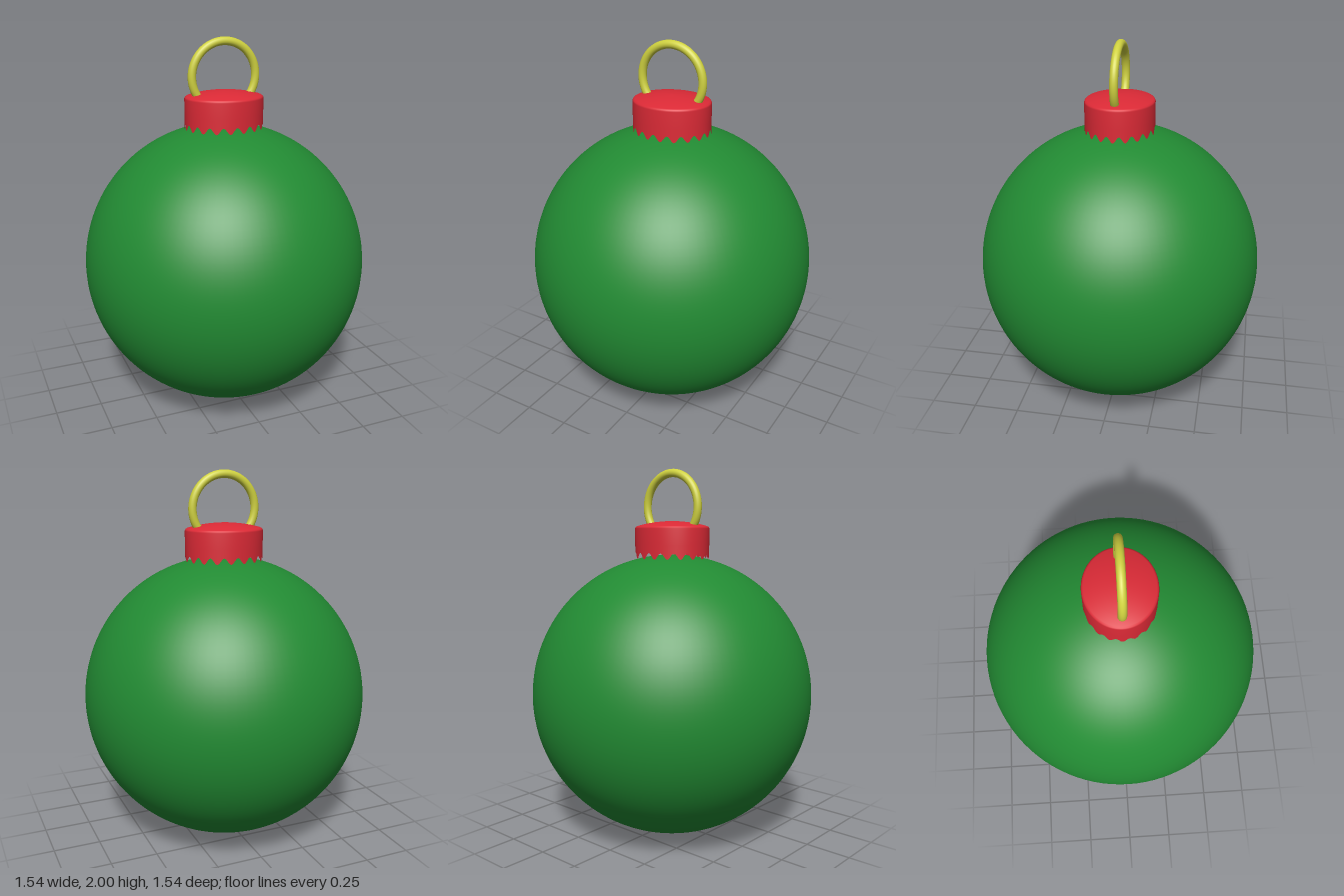
import * as THREE from 'three';

const material = (color) => new THREE.MeshStandardMaterial({ color, side: THREE.DoubleSide });

function addMesh(group, name, geometry, color) {
  const mesh = new THREE.Mesh(geometry, material(color));
  mesh.name = name;
  group.add(mesh);
  return mesh;
}

// Domed oval cap whose lower rim is cut into rounded teeth
function capGeometry() {
  const teeth = 18, radius = 0.213, rim = 1.54;
  const profile = [
    [radius, rim], [radius, 1.6], [radius, 1.685], [0.209, 1.693], [0.2, 1.698],
    [0.15, 1.71], [0.1, 1.718], [0.05, 1.723], [0, 1.725],
  ].map(([r, y]) => new THREE.Vector2(r, y));
  const geometry = new THREE.LatheGeometry(profile, teeth * 8);
  const pos = geometry.attributes.position;
  for (let i = 0; i < pos.count; i++) {
    if (Math.abs(pos.getY(i) - rim) > 0.001) continue;
    const angle = Math.atan2(pos.getX(i), pos.getZ(i));
    pos.setY(i, rim + 0.017 * Math.cos(teeth * angle));
  }
  geometry.scale(1, 1, 0.185 / radius);
  return geometry;
}

export function createModel() {
  const group = new THREE.Group();
  group.name = 'bauble';

  // Ball
  addMesh(group, 'ball', new THREE.SphereGeometry(0.771, 96, 64), 0x228b33).position.y = 0.774;

  // Cap
  addMesh(group, 'cap', capGeometry(), 0xdc2a36);

  // Hanging loop, open where it enters the cap
  const gap = 0.95;
  const arc = Math.PI * 2 - gap * 2;
  const loop = addMesh(group, 'hangingLoop', new THREE.TorusGeometry(0.179, 0.022, 20, 72, arc), 0xcfd13f);
  loop.position.y = 1.799;
  loop.rotation.z = -Math.PI / 2 + gap;

  return group;
}
